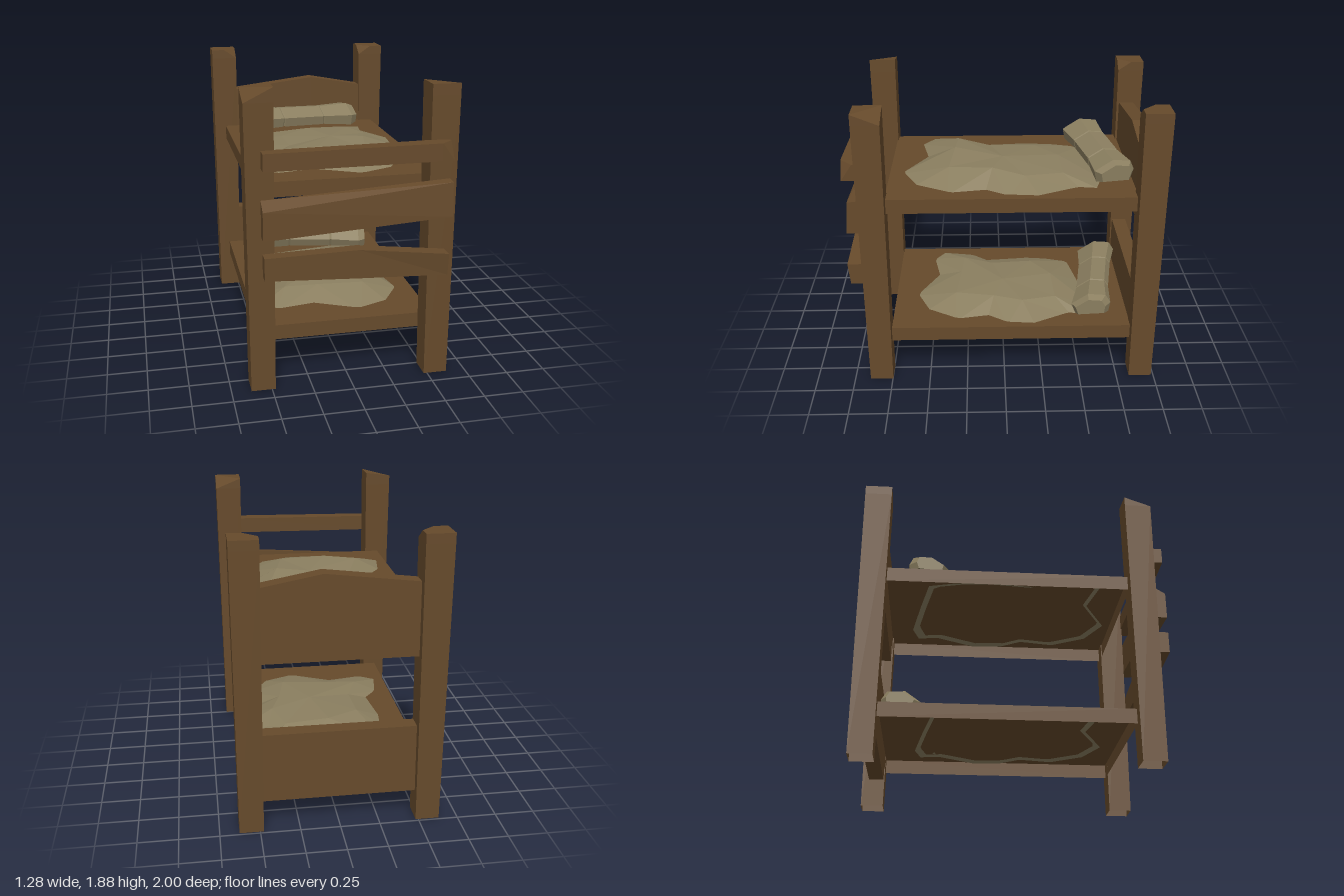
import * as THREE from 'three';

const wood = new THREE.MeshStandardMaterial({ name: 'wood', color: 0x664a2b, flatShading: true, side: THREE.DoubleSide });
const cloth = new THREE.MeshStandardMaterial({ name: 'linen', color: 0x8b7f60, flatShading: true, side: THREE.DoubleSide });

// Flat-shaded mesh from a list of triangles (each three [x, y, z] points)
function facetMesh(name, tris, material) {
  const geo = new THREE.BufferGeometry();
  geo.setAttribute('position', new THREE.Float32BufferAttribute(tris.flat(2), 3));
  geo.computeVertexNormals();
  const mesh = new THREE.Mesh(geo, material);
  mesh.name = name;
  return mesh;
}

// Skin through cross-sections; rings run counter-clockwise seen from the far end
function loft(name, rings, material, closeStart = true) {
  const tris = [];
  const n = rings[0].length;
  for (let s = 0; s < rings.length - 1; s++) {
    const p = rings[s], q = rings[s + 1];
    for (let i = 0; i < n; i++) {
      const j = (i + 1) % n;
      tris.push([p[i], p[j], q[j]], [p[i], q[j], q[i]]);
    }
  }
  const first = rings[0], last = rings[rings.length - 1];
  for (let i = 1; i < n - 1; i++) {
    tris.push([last[0], last[i], last[i + 1]]);
    if (closeStart) tris.push([first[0], first[i + 1], first[i]]);
  }
  return facetMesh(name, tris, material);
}

// Post flaring towards the top, with one top corner chipped off
function post(name, cx, cz, corner, chip, top, lean) {
  const dirs = [[1, 1], [1, -1], [-1, -1], [-1, 1]];
  const at = (k) => dirs[(corner + k) % 4];
  const mix = (a, b, t) => [a[0] + (b[0] - a[0]) * t, a[1] + (b[1] - a[1]) * t];
  const ring = (y, half, cut, tilt) =>
    [mix(at(0), at(3), cut), mix(at(0), at(1), cut), at(1), at(2), at(3)]
      .map(([dx, dz]) => [cx + dx * half, y + tilt * dx, cz + dz * half]);
  return loft(name, [ring(0.005, 0.075, 0, 0), ring(1.8, 0.087, 0, 0), ring(top, 0.087, chip, lean)], wood, false);
}

// Board running along x; sections are [x, bottom, frontTop, backTop, zFrontBottom, zFrontTop]
function board(name, sections, zBack) {
  return loft(name, sections.map(([x, b, ft, bt, zb, zt]) =>
    [[x, b, zb], [x, b, zBack], [x, bt, zBack], [x, ft, zt]]), wood);
}

// Bed deck, open underneath
function deck(name, y0, y1) {
  const ring = (y) => [[0.563, y, 0.745], [0.563, y, -0.835], [-0.56, y, -0.835], [-0.56, y, 0.745]];
  return loft(name, [ring(y0), ring(y1)], wood, false);
}

// Rumpled blanket: ragged hem, a coarser raised ring inside it, and a middle point
const hem = [[0.55, -0.23], [0.42, -0.5], [0.44, -0.64], [0.3, -0.68], [-0.05, -0.62], [-0.36, -0.56],
  [-0.41, -0.38], [-0.43, -0.2], [-0.4, 0.13], [-0.49, 0.25], [-0.53, 0.5], [-0.42, 0.58],
  [-0.16, 0.53], [0.13, 0.69], [0.35, 0.59], [0.48, 0.36], [0.44, 0.12], [0.53, -0.02]];

function blanket(name, y, depthScale, heights, middle) {
  const n = hem.length;
  const outer = (i) => [hem[i % n][0], y - 0.012, hem[i % n][1] * depthScale];
  const inner = (k) => {
    const i = (k * 2) % n;
    return [0.02 + (hem[i][0] - 0.02) * 0.6, y + heights[i / 2], hem[i][1] * depthScale * 0.6];
  };
  const centre = [0.06, y + middle, 0];
  const tris = [];
  for (let k = 0; k < n / 2; k++) {
    const a = outer(2 * k), b = outer(2 * k + 1), c = outer(2 * k + 2);
    const p = inner(k), q = inner(k + 1);
    tris.push([a, b, p], [b, q, p], [b, c, q], [p, q, centre]);
  }
  return facetMesh(name, tris, cloth);
}

// Pillow pinched by two creases
function pillow(name) {
  const profile = [[0.11, -0.065], [-0.105, -0.065], [-0.125, 0], [-0.1, 0.055], [0.01, 0.07], [0.125, 0.005]];
  const stations = [[-0.42, 0.72], [-0.37, 1.06], [-0.165, 0.9], [-0.157, 0.83], [-0.149, 0.9],
    [0.149, 0.88], [0.157, 0.81], [0.165, 0.88], [0.37, 1.05], [0.42, 0.8]];
  return loft(name, stations.map(([x, s]) => profile.map(([z, y]) => [x, y * s, z * s])), cloth);
}

export function createModel() {
  const bed = new THREE.Group();
  bed.name = 'bunkBed';

  // Corner posts
  bed.add(
    post('frontRightPost', -0.553, 0.822, 3, 1, 1.875, 0.012),
    post('frontLeftPost', 0.553, 0.822, 1, 1, 1.87, 0),
    post('backRightPost', -0.557, -0.91, 0, 0.5, 1.86, 0),
    post('backLeftPost', 0.553, -0.91, 3, 0.5, 1.86, 0),
  );

  // Decks
  bed.add(deck('lowerDeck', 0.265, 0.36), deck('upperDeck', 1.195, 1.29));

  // Headboards
  const head = (x, b, t) => [x, b, t, t, -0.84, -0.84];
  bed.add(
    board('lowerHeadboard', [head(-0.49, 0.19, 0.64), head(0.49, 0.19, 0.64)], -0.94),
    board('upperHeadboard', [head(-0.49, 1.1, 1.563), head(0.1, 1.1, 1.635), head(0.49, 1.1, 1.563)], -0.94),
  );

  // Crooked footboard rails
  bed.add(
    board('topRail', [
      [-0.545, 1.42, 1.525, 1.525, 0.985, 0.985],
      [0.51, 1.43, 1.538, 1.538, 1, 1],
      [0.585, 1.43, 1.535, 1.535, 0.995, 0.925]], 0.9),
    board('middleRail', [
      [-0.55, 1.005, 1.18, 1.23, 0.985, 0.985],
      [0.595, 1.08, 1.29, 1.297, 0.985, 0.97]], 0.905),
    board('bottomRail', [
      [-0.545, 0.76, 0.9, 0.9, 0.985, 0.985],
      [0.02, 0.735, 0.915, 0.915, 0.99, 0.99],
      [0.575, 0.71, 0.85, 0.85, 0.985, 1]], 0.905),
  );

  // Bedding
  bed.add(
    blanket('upperBlanket', 1.29, 1, [0.06, 0.05, 0.06, 0.045, 0.05, 0.075, 0.095, 0.075, 0.09], 0.085),
    blanket('lowerBlanket', 0.36, 0.92, [0.07, 0.06, 0.075, 0.06, 0.05, 0.055, 0.06, 0.065, 0.07], 0.08),
  );
  const upperPillow = pillow('upperPillow');
  upperPillow.position.set(-0.03, 1.39, -0.635);
  upperPillow.rotation.set(0, 0.19, -0.03);
  const lowerPillow = pillow('lowerPillow');
  lowerPillow.position.set(0.045, 0.45, -0.645);
  lowerPillow.rotation.set(0.15, -0.16, 0);
  bed.add(upperPillow, lowerPillow);

  return bed;
}
